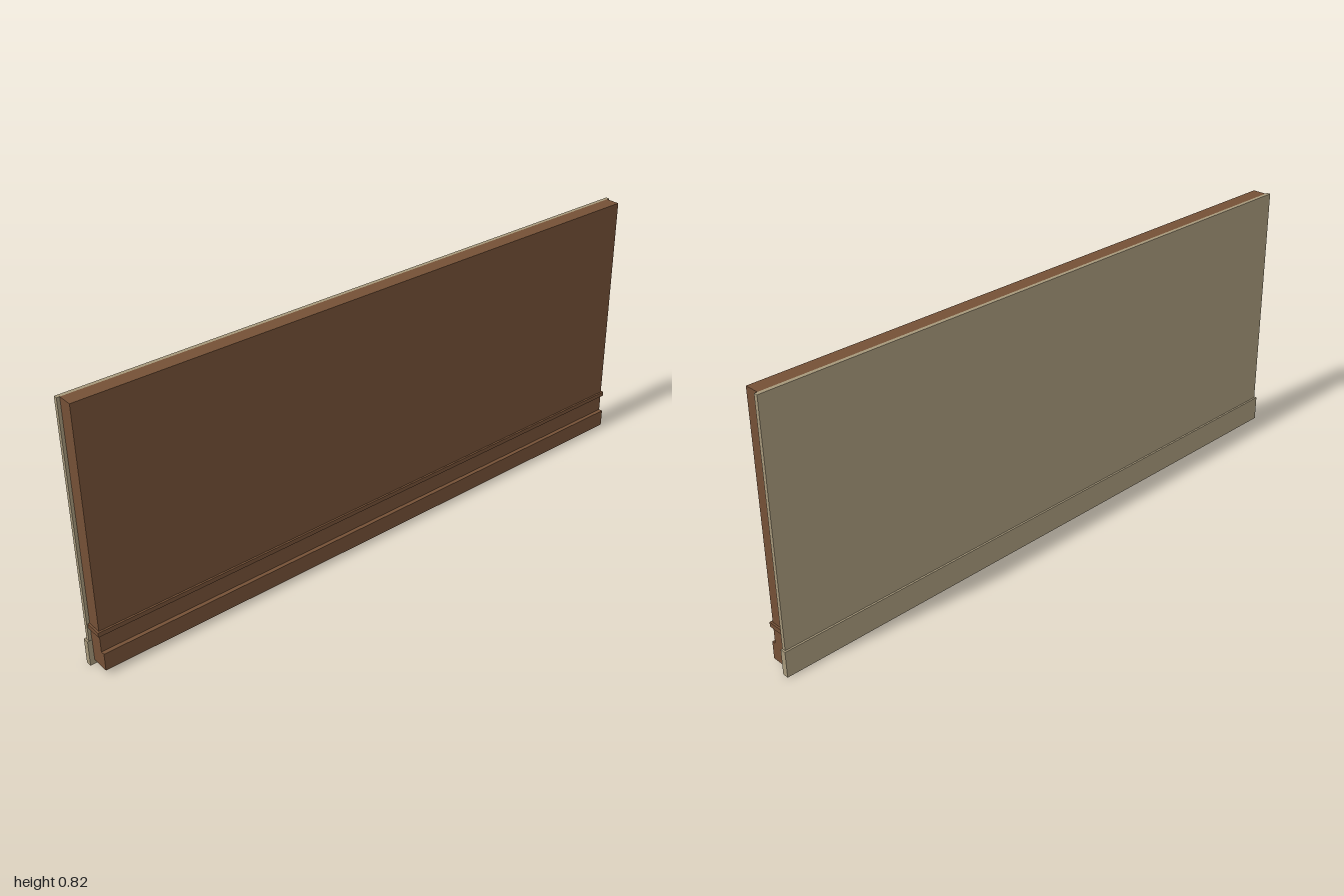
import * as THREE from 'three';

export function createModel() {
  const model = new THREE.Group();
  model.name = 'wallPanel';

  const wood = new THREE.MeshStandardMaterial({ color: 0x745036 });
  wood.name = 'brown wood';
  const plaster = new THREE.MeshStandardMaterial({ color: 0xa5977a });
  plaster.name = 'beige cladding';

  // Box given by its x and y limits and its half length along z
  function slab(name, x0, x1, y0, y1, halfZ, material) {
    const mesh = new THREE.Mesh(new THREE.BoxGeometry(x1 - x0, y1 - y0, halfZ * 2), material);
    mesh.position.set((x0 + x1) / 2, (y0 + y1) / 2, 0);
    mesh.name = name;
    model.add(mesh);
  }

  // Wooden wall with its projecting baseboard, as one profile along z
  const profile = new THREE.Shape([
    [-0.021, 0.013], [0.038, 0.013], [0.038, 0.068],
    [0.025, 0.068], [0.025, 0.823], [-0.021, 0.823],
  ].map(([x, y]) => new THREE.Vector2(x, y)));
  const wallGeometry = new THREE.ExtrudeGeometry(profile, { depth: 1.972, bevelEnabled: false });
  wallGeometry.translate(0, 0, -0.986);
  const wall = new THREE.Mesh(wallGeometry, wood);
  wall.name = 'wallAndBaseboard';
  model.add(wall);

  // Thin rail above the baseboard
  slab('trimRail', -0.021, 0.031, 0.123, 0.137, 0.992, wood);

  // Outer cladding and its thicker foot
  slab('cladding', -0.033, -0.021, 0.08, 0.823, 0.995, plaster);
  slab('claddingFoot', -0.039, -0.02, 0, 0.081, 1, plaster);

  return model;
}
